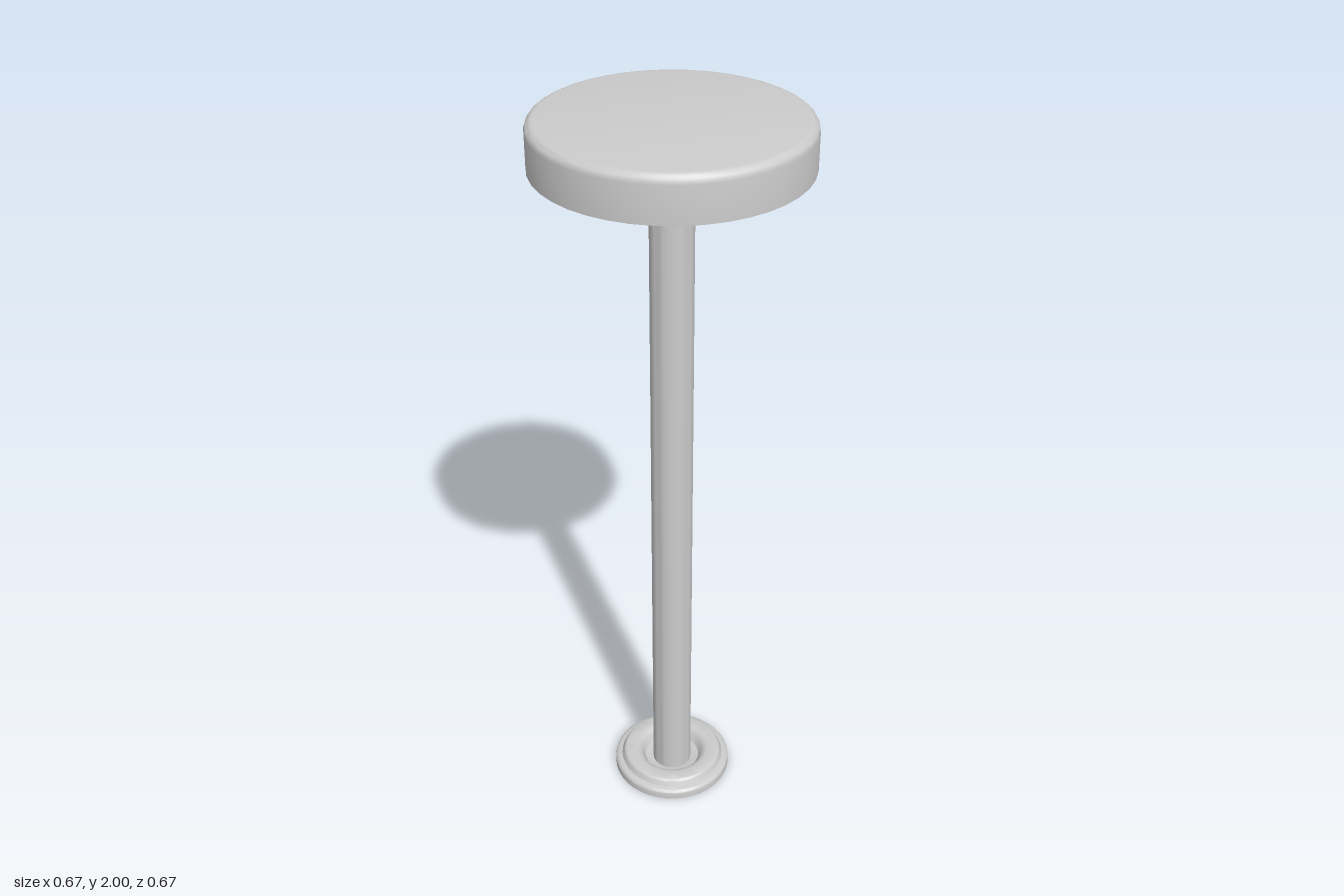
import * as THREE from 'three';
import { toCreasedNormals } from 'three/addons/utils/BufferGeometryUtils.js';

const SEGMENTS = 40;

// Revolves a counter-clockwise [radius, height] profile around the y axis.
function turned(name, profile, material) {
  const points = profile.map(([r, y]) => new THREE.Vector2(r, y));
  const geometry = toCreasedNormals(new THREE.LatheGeometry(points, SEGMENTS), 0.65);
  const mesh = new THREE.Mesh(geometry, material);
  mesh.name = name;
  return mesh;
}

// Quarter-round corner from the vertical side to the horizontal top.
function roundedEdge(r, y, radius, steps = 5) {
  return Array.from({ length: steps + 1 }, (_, i) => {
    const a = (i / steps) * Math.PI / 2;
    return [r - radius + radius * Math.cos(a), y - radius + radius * Math.sin(a)];
  });
}

export function createModel() {
  const group = new THREE.Group();
  group.name = 'pedestal';
  const material = new THREE.MeshStandardMaterial({ color: 0xcccccc, side: THREE.DoubleSide });

  // Round top: a hollow cap, open below, with a rounded upper edge
  group.add(turned('roundTop', [
    [0.32, 1.886], [0.336, 1.886],
    ...roundedEdge(0.336, 2, 0.022),
    [0, 2],
  ], material));
  group.add(turned('roundTopInside', [
    [0, 1.967],
    ...roundedEdge(0.32, 1.967, 0.01, 3).reverse(),
    [0.32, 1.886],
  ], material));

  // Pole from the floor flange up to the inside of the top
  group.add(turned('pole', [
    [0, 0.012], [0.055, 0.012], [0.055, 1.967], [0, 1.967],
  ], material));

  // Floor flange: stepped shell, dished in the middle and hollow below
  group.add(turned('floorFlange', [
    [0.157, 0], [0.167, 0],
    ...roundedEdge(0.167, 0.028, 0.01, 4),
    [0.148, 0.03], [0.145, 0.036],
    ...roundedEdge(0.143, 0.049, 0.01, 4),
    [0.105, 0.049], [0.095, 0.046], [0.088, 0.038], [0.078, 0.02], [0.055, 0.015],
    [0.055, 0.01], [0.082, 0.014], [0.093, 0.034], [0.1, 0.041],
    [0.132, 0.041], [0.138, 0.024], [0.157, 0.018], [0.157, 0],
  ], material));

  return group;
}
